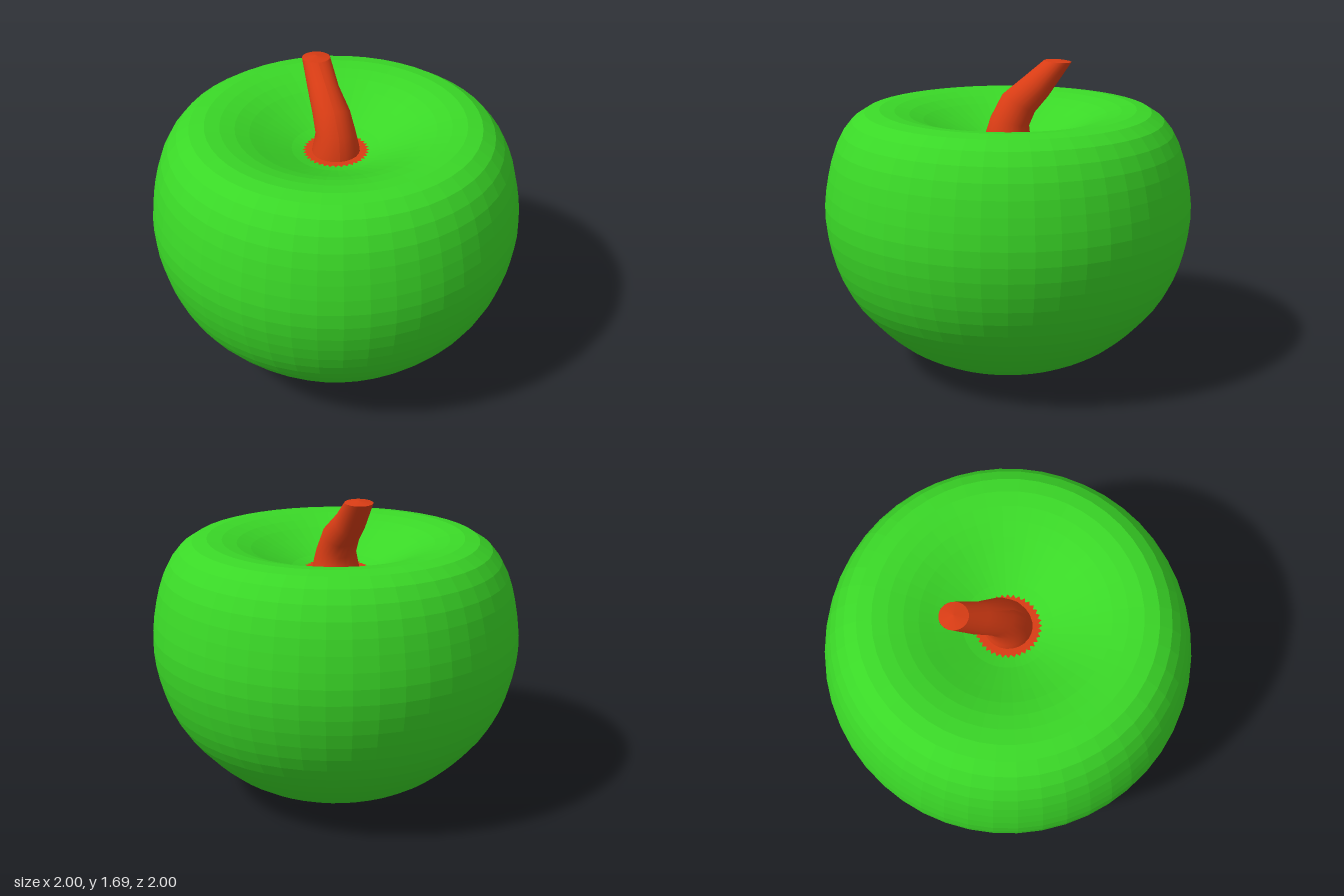
import * as THREE from 'three';

const GREEN = 0x3ad827, RED = 0xd83c14;

// Stem rings: centre x, y, z, radius, backward lean
const STEM = [
  [0, 1.24, 0, 0.133, 0],
  [0, 1.30, 0, 0.122, 0.05],
  [0, 1.37, -0.01, 0.107, 0.2],
  [-0.015, 1.465, -0.06, 0.1, 0.5],
  [-0.04, 1.555, -0.165, 0.083, 0.75],
  [-0.06, 1.682, -0.28, 0.075, 0.06],
];

// Tube through the leaning rings, side wall only
function stemGeometry(sides) {
  const pos = [], index = [];
  STEM.forEach(([x, y, z, r, lean], i) => {
    for (let j = 0; j <= sides; j++) {
      const a = (j / sides) * Math.PI * 2;
      const s = r * Math.cos(a);
      pos.push(x + r * Math.sin(a), y + s * Math.sin(lean), z + s * Math.cos(lean));
      if (i > 0 && j < sides) {
        const b = i * (sides + 1) + j, d = b - sides - 1;
        index.push(d, d + 1, b + 1, d, b + 1, b);
      }
    }
  });
  const geo = new THREE.BufferGeometry();
  geo.setAttribute('position', new THREE.Float32BufferAttribute(pos, 3));
  geo.setIndex(index);
  geo.computeVertexNormals();
  return geo;
}

export function createModel() {
  const model = new THREE.Group();
  const red = new THREE.MeshStandardMaterial({ color: RED, side: THREE.DoubleSide });
  const add = (name, geo, mat) => {
    const mesh = new THREE.Mesh(geo, mat);
    mesh.name = name;
    model.add(mesh);
    return mesh;
  };

  // Fruit body: faceted lathe from the underside, over the rim, into the dimple
  const outline = new THREE.SplineCurve([
    [0, 0], [0.14, 0.003], [0.33, 0.035], [0.52, 0.11], [0.68, 0.22], [0.86, 0.42],
    [0.96, 0.64], [1, 0.9], [0.955, 1.18], [0.88, 1.345], [0.79, 1.425], [0.7, 1.445],
    [0.61, 1.436], [0.5, 1.405], [0.38, 1.35], [0.27, 1.3], [0.175, 1.262], [0, 1.225],
  ].map(([r, y]) => new THREE.Vector2(r, y)));
  const profile = outline.getSpacedPoints(36);
  profile.forEach((p) => { p.x = Math.max(p.x, 0); p.y = Math.max(p.y, 0); });
  add('body', new THREE.LatheGeometry(profile, 48),
    new THREE.MeshStandardMaterial({ color: GREEN, flatShading: true }));

  // Jagged collar where the stem meets the dimple
  const teeth = 36, star = new THREE.Shape();
  for (let i = 0; i < teeth * 2; i++) {
    const a = (i / teeth) * Math.PI, r = i % 2 ? 0.16 : 0.178;
    star[i ? 'lineTo' : 'moveTo'](r * Math.cos(a), r * Math.sin(a));
  }
  const collar = add('stemCollar', new THREE.ShapeGeometry(star), red);
  collar.rotation.x = -Math.PI / 2;
  collar.position.y = 1.268;

  // Bent, tapering stem with a slightly domed cut end
  add('stem', stemGeometry(24), red);
  const [x, y, z, r, lean] = STEM[STEM.length - 1];
  const tip = add('stemTip', new THREE.ConeGeometry(r, 0.012, 24, 1, true), red);
  tip.position.set(x, y + 0.006, z);
  tip.rotation.x = -lean;

  return model;
}
